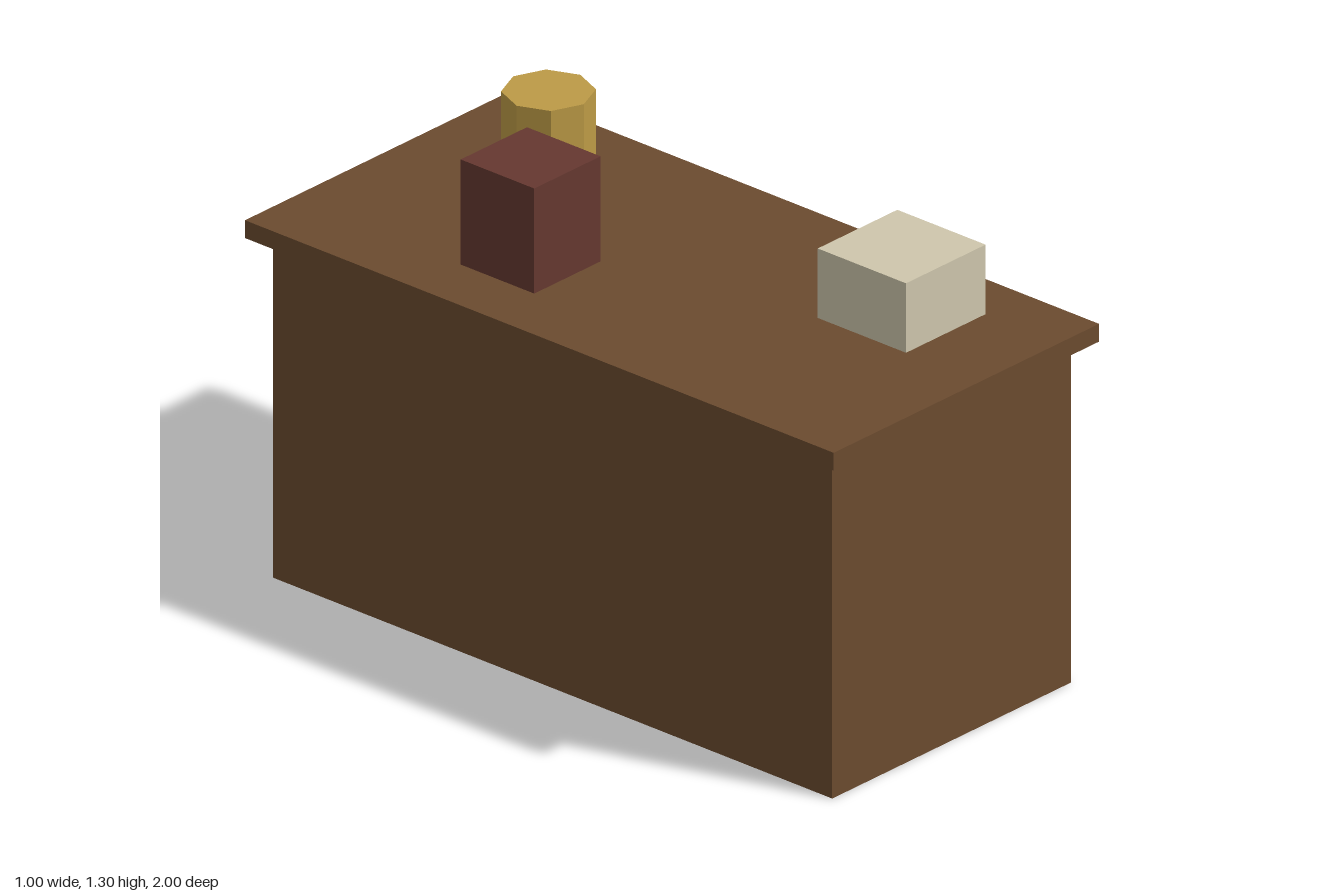
import * as THREE from 'three';

const material = (name, color) => {
  const m = new THREE.MeshStandardMaterial({ color });
  m.name = name;
  return m;
};

export function createModel() {
  const group = new THREE.Group();
  group.name = 'counter';

  const wood = material('brown wood', 0x6b4b2f);
  const maroon = material('maroon', 0x653830);
  const ivory = material('ivory', 0xcec6ac);
  const brass = material('brass', 0xbc9a46);

  // Adds a mesh whose underside sits at height y
  const add = (name, geometry, mat, height, x, y, z) => {
    const mesh = new THREE.Mesh(geometry, mat);
    mesh.name = name;
    mesh.position.set(x, y + height / 2, z);
    group.add(mesh);
  };
  const box = (name, mat, w, h, d, x, y, z) =>
    add(name, new THREE.BoxGeometry(w, h, d), mat, h, x, y, z);

  // Counter: body and overhanging top with a thin shadow gap
  box('counterBody', wood, 0.9, 0.95, 1.9, 0, 0, 0);
  box('counterTop', wood, 1, 0.05, 2, 0, 0.955, 0);

  // Goods on the counter
  box('tallBox', maroon, 0.25, 0.3, 0.25, -0.2, 1, -0.3);
  box('lowBox', ivory, 0.3, 0.2, 0.3, 0.2, 1, 0.6);

  // Eight-sided jar with flat facets
  const jar = new THREE.CylinderGeometry(0.12, 0.12, 0.25, 8).toNonIndexed();
  jar.computeVertexNormals();
  add('jar', jar, brass, 0.25, 0.2, 0.997, -0.6);

  return group;
}
